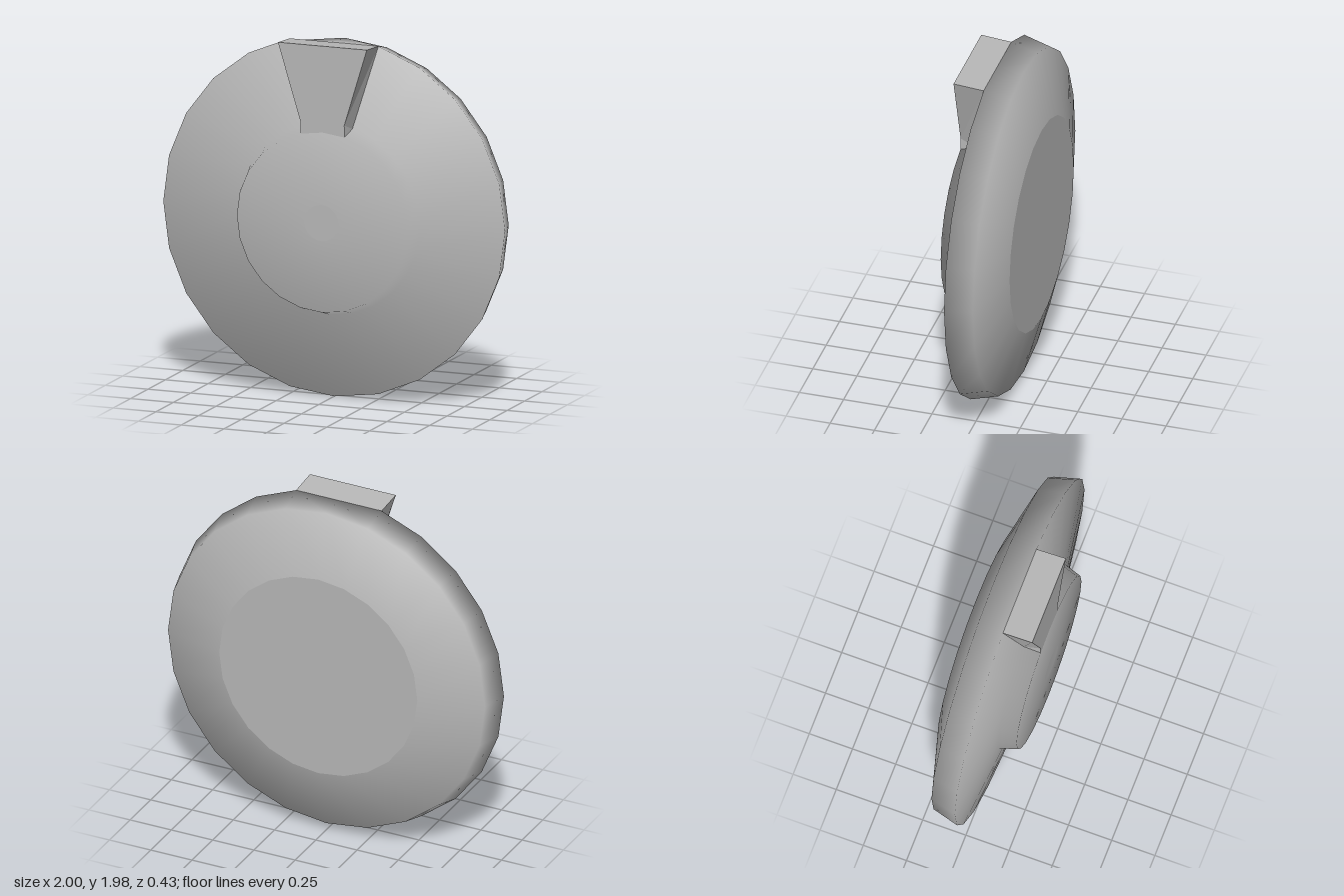
import * as THREE from 'three';

const SIDES = 24;

export function createModel() {
  const group = new THREE.Group();
  const grey = new THREE.MeshStandardMaterial({ color: 0xb8b8b8 });
  grey.name = 'plain grey';

  const add = (name, geometry) => {
    const mesh = new THREE.Mesh(geometry, grey);
    mesh.name = name;
    group.add(mesh);
    return mesh;
  };

  // Dial body: smooth turned profile (radius, depth) from back to front
  const profile = [
    [0.6, -0.22], [0.96, -0.12], [1, 0.03],
    [0.53, 0.105], [0.5, 0.2], [0.1, 0.214],
  ].map(([r, z]) => new THREE.Vector2(r, z));
  const body = new THREE.LatheGeometry(profile, SIDES);
  body.rotateX(Math.PI / 2);
  body.translate(0, 1, 0);
  // Flatten the rim corner under the pointer
  const p = body.attributes.position;
  for (let i = 0; i < p.count; i++) {
    if (p.getY(i) > 1.966) p.setY(i, 1.966);
  }
  add('dialBody', body);

  // Flat caps closing the body
  const back = new THREE.CircleGeometry(0.6, SIDES);
  back.rotateY(Math.PI);
  add('backFace', back).position.set(0, 1, -0.22);
  add('hubCentre', new THREE.CircleGeometry(0.1, SIDES)).position.set(0, 1, 0.214);

  // Pointer: tapered wedge from hub to rim, flat faced
  const side = (s) => ({
    topFront: [s * 0.26, 1.98, 0.2],
    topBack: [s * 0.2588, 1.966, 0.03],
    lowFront: [s * 0.128, 1.55, 0.2],
    lowBack: [s * 0.137, 1.512, 0.105],
    hub: [s * 0.129, 1.483, 0.2],
  });
  const L = side(1), R = side(-1);
  const faces = [
    [R.lowFront, L.lowFront, L.topFront, R.topFront],
    [R.hub, L.hub, L.lowFront, R.lowFront],
    [R.topFront, L.topFront, L.topBack, R.topBack],
    [L.lowFront, L.lowBack, L.topBack, L.topFront],
    [R.lowBack, R.lowFront, R.topFront, R.topBack],
    [L.hub, L.lowBack, L.lowFront],
    [R.hub, R.lowFront, R.lowBack],
    [R.lowBack, L.lowBack, L.hub, R.hub],
  ];
  const corners = [];
  for (const f of faces) {
    for (let i = 1; i < f.length - 1; i++) corners.push(...f[0], ...f[i], ...f[i + 1]);
  }
  const pointer = new THREE.BufferGeometry();
  pointer.setAttribute('position', new THREE.Float32BufferAttribute(corners, 3));
  pointer.computeVertexNormals();
  add('pointer', pointer);

  return group;
}
